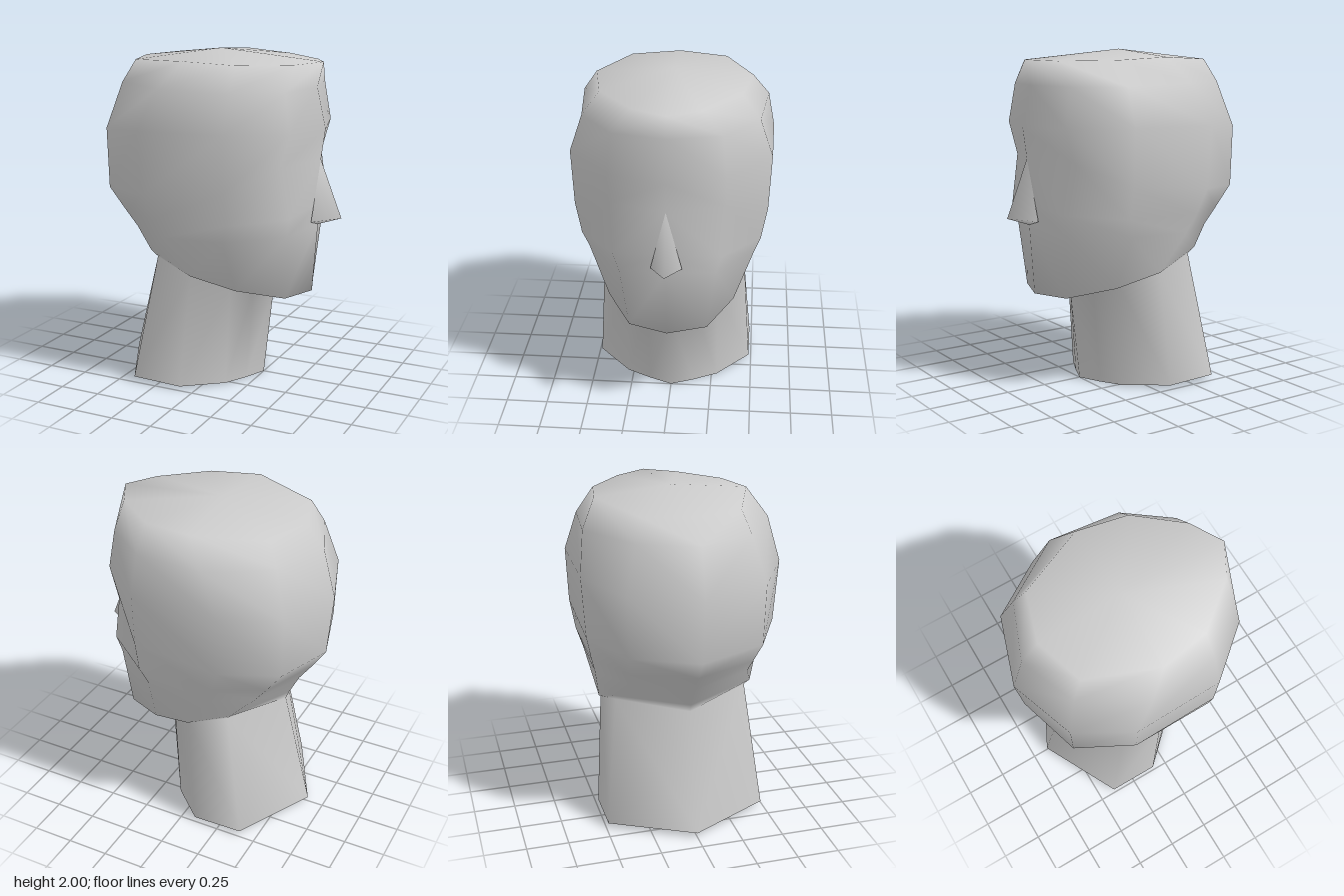
import * as THREE from 'three';
import { mergeVertices } from 'three/addons/utils/BufferGeometryUtils.js';

// Half rings, ordered from the back centre round the +z side to the front centre.
const NECK_RINGS = [
  [[-0.65, 0.03, 0], [-0.4, 0.03, 0.487], [-0.09, 0.02, 0.485], [0.12, 0.005, 0.285], [0.19, 0, 0.14], [0.25, 0, 0]],
  [[-0.47, 0.75, 0], [-0.27, 0.79, 0.4], [-0.03, 0.72, 0.44], [0.15, 0.63, 0.28], [0.24, 0.58, 0.14], [0.31, 0.54, 0]],
];
const JAW_RINGS = [
  [[-0.49, 0.8, 0], [-0.3, 0.83, 0.425], [-0.03, 0.71, 0.45], [0.23, 0.635, 0.38], [0.48, 0.58, 0.23], [0.56, 0.575, 0]],
  [[-0.55, 0.92, 0], [-0.43, 0.95, 0.36], [-0.18, 0.94, 0.5], [0.2, 0.95, 0.495], [0.51, 0.97, 0.28], [0.59, 0.99, 0]],
];
const SKULL_RINGS = [
  [[-0.63, 1.03, 0], [-0.5, 1.04, 0.37], [-0.23, 1.05, 0.53], [0.24, 1.06, 0.53], [0.53, 1.08, 0.31], [0.595, 1.12, 0]],
  [[-0.71, 1.15, 0], [-0.6, 1.18, 0.39], [-0.28, 1.2, 0.565], [0.24, 1.25, 0.565], [0.48, 1.37, 0.33], [0.6, 1.38, 0]],
  [[-0.74, 1.52, 0], [-0.605, 1.54, 0.4], [-0.29, 1.57, 0.59], [0.24, 1.58, 0.58], [0.535, 1.57, 0.33], [0.625, 1.56, 0]],
  [[-0.66, 1.81, 0], [-0.53, 1.81, 0.33], [-0.18, 1.81, 0.55], [0.24, 1.8, 0.505], [0.5, 1.8, 0.31], [0.57, 1.8, 0]],
  [[-0.55, 1.94, 0], [-0.46, 1.94, 0.29], [-0.06, 1.96, 0.455], [0.24, 1.945, 0.4], [0.5, 1.94, 0.19], [0.605, 1.945, 0]],
];

// Complete a ring by mirroring its inner points across z = 0.
const mirrorRing = (half) => [
  ...half,
  ...half.slice(1, -1).reverse().map(([x, y, z]) => [x, y, -z]),
];

// Weld the corners so that the surface shades smoothly.
function makeMesh(name, triangles) {
  const corners = new THREE.BufferGeometry();
  corners.setAttribute('position', new THREE.Float32BufferAttribute(triangles.flat(2), 3));
  const geometry = mergeVertices(corners);
  geometry.computeVertexNormals();
  const material = new THREE.MeshStandardMaterial({ color: 0xcccccc, side: THREE.DoubleSide });
  const mesh = new THREE.Mesh(geometry, material);
  mesh.name = name;
  return mesh;
}

// Skin between successive rings, from the bottom up.
function loft(rings) {
  const triangles = [];
  for (let r = 0; r < rings.length - 1; r++) {
    const low = rings[r], high = rings[r + 1], n = low.length;
    for (let i = 0; i < n; i++) {
      const j = (i + 1) % n;
      // The diagonal flips on the mirrored half.
      if (i < n / 2) {
        triangles.push([low[i], low[j], high[j]], [low[i], high[j], high[i]]);
      } else {
        triangles.push([low[i], low[j], high[i]], [low[j], high[j], high[i]]);
      }
    }
  }
  return triangles;
}

export function createModel() {
  const model = new THREE.Group();
  model.name = 'headBust';

  // Neck, open at the base, with jaw, face and skull, closed by a low crown
  const rings = [...NECK_RINGS, ...JAW_RINGS, ...SKULL_RINGS].map(mirrorRing);
  const rim = rings[rings.length - 1];
  const crown = rim.map((p, i) => [p, rim[(i + 1) % rim.length], [-0.04, 2, 0]]);
  model.add(makeMesh('headAndNeck', [...loft(rings), ...crown]));

  // Wedge nose
  const bridge = [0.6, 1.38, 0], tip = [0.735, 1.04, 0], under = [0.59, 0.99, 0];
  const left = [0.58, 1.02, 0.09], right = [0.58, 1.02, -0.09];
  model.add(makeMesh('nose', [
    [bridge, left, tip], [bridge, tip, right],
    [left, under, tip], [under, right, tip],
  ]));

  return model;
}
